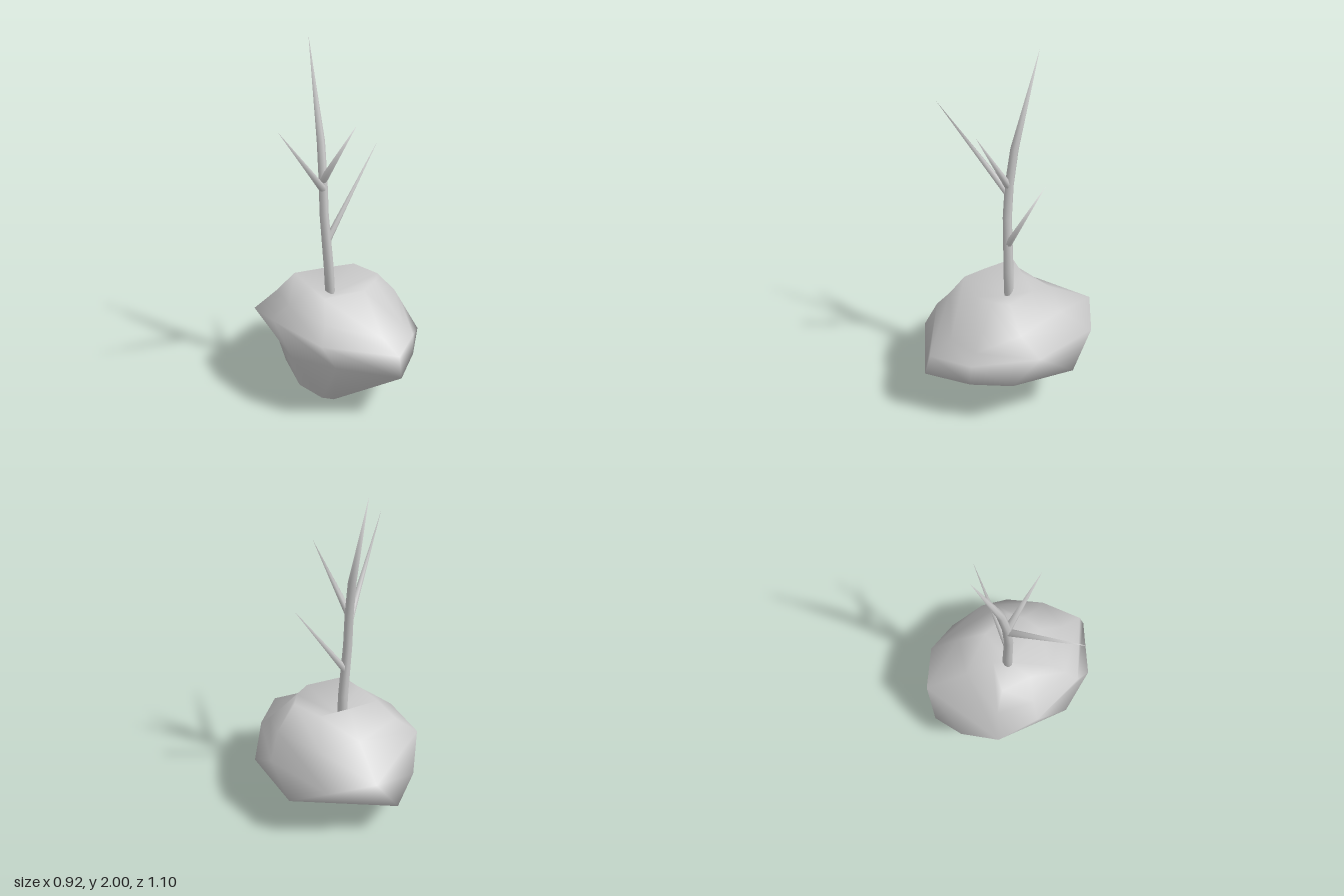
import * as THREE from 'three';

const V = (p) => new THREE.Vector3(...p);

// Skin a stack of closed loops (top to bottom, counterclockwise from above), capped by two centre points.
function skinLoops(top, loops, bottom) {
  const n = loops[0].length;
  const points = [...loops.flat(), top, bottom];
  const topId = loops.length * n, bottomId = topId + 1, index = [];
  for (let j = 0; j < n; j++) {
    const k = (j + 1) % n, last = (loops.length - 1) * n;
    index.push(topId, j, k, bottomId, last + k, last + j);
    for (let i = 0; i < loops.length - 1; i++) {
      const a = i * n + j, b = a + n, c = (i + 1) * n + k, d = i * n + k;
      index.push(a, b, c, a, c, d);
    }
  }
  const geo = new THREE.BufferGeometry();
  geo.setAttribute('position', new THREE.Float32BufferAttribute(points.flat(), 3));
  geo.setIndex(index);
  geo.computeVertexNormals();
  return geo;
}

// Tapering limb through stations [x, y, z, radius], ending in a point.
function limb(stations, tip, sides = 7) {
  const pts = [...stations.map((s) => V(s.slice(0, 3))), V(tip)];
  const loops = stations.map((s, i) => {
    const dir = pts[i + 1].clone().sub(pts[Math.max(i - 1, 0)]).normalize();
    const turn = new THREE.Quaternion().setFromUnitVectors(new THREE.Vector3(0, 1, 0), dir);
    return Array.from({ length: sides }, (_, j) => {
      const a = (j / sides) * Math.PI * 2;
      return new THREE.Vector3(Math.sin(a) * s[3], 0, Math.cos(a) * s[3])
        .applyQuaternion(turn).add(pts[i]).toArray();
    });
  });
  return skinLoops(tip, loops.reverse(), stations[0].slice(0, 3));
}

export function createModel() {
  const group = new THREE.Group();
  const material = new THREE.MeshStandardMaterial({ color: 0xcccccc });
  const add = (name, geo) => {
    const mesh = new THREE.Mesh(geo, material);
    mesh.name = name;
    group.add(mesh);
  };

  // Irregular boulder: loops run front, +x side, back, -x side
  const rim = [
    [0.02, 0.67, 0.21], [0.13, 0.68, 0.17], [0.2, 0.68, 0.11], [0.17, 0.68, -0.07],
    [0, 0.68, -0.13], [-0.17, 0.68, -0.18], [-0.19, 0.67, 0], [-0.2, 0.66, 0.14]];
  const slope = [
    [0.02, 0.45, 0.38], [0.2, 0.45, 0.34], [0.32, 0.54, 0.12], [0.27, 0.55, -0.2],
    [0.06, 0.57, -0.28], [-0.24, 0.56, -0.26], [-0.3, 0.57, -0.05], [-0.25, 0.55, 0.21]];
  const shoulder = [
    [0.02, 0.4, 0.52], [0.23, 0.4, 0.39], [0.42, 0.42, 0.06], [0.36, 0.41, -0.35],
    [0.15, 0.455, -0.51], [-0.35, 0.45, -0.33], [-0.385, 0.49, -0.08], [-0.31, 0.46, 0.265]];
  const belly = [
    [0.01, 0.285, 0.55], [0.23, 0.28, 0.395], [0.405, 0.31, 0.235], [0.46, 0.28, -0.14],
    [0.02, 0.25, -0.55], [-0.17, 0.33, -0.48], [-0.405, 0.36, 0.12], [-0.29, 0.37, 0.365]];
  const base = [
    [-0.18, 0.04, 0.2], [-0.06, 0.02, 0.06], [0.02, 0.01, -0.04], [0.07, 0, -0.1],
    [-0.04, 0.015, -0.22], [-0.15, 0.03, -0.32], [-0.24, 0.03, -0.05], [-0.22, 0.035, 0.14]];
  // The top centre sinks into a hollow that holds the trunk
  add('boulder', skinLoops([-0.02, 0.56, -0.03], [rim, slope, shoulder, belly, base], [-0.12, 0.02, -0.04]));

  // Trunk, bending backwards to its tip
  add('trunk', limb([
    [-0.02, 0.53, -0.045, 0.029], [-0.028, 0.72, -0.047, 0.029], [-0.052, 1.05, -0.055, 0.026],
    [-0.05, 1.25, -0.066, 0.025], [-0.042, 1.46, -0.094, 0.023]], [-0.015, 2, -0.232]));

  // Bare branches: [name, foot, radius, tip]
  const branches = [
    ['leftBranch', [-0.035, 0.89, -0.05], 0.02, [0.305, 1.405, -0.037]],
    ['rightBranch', [-0.045, 1.19, -0.065], 0.022, [-0.462, 1.652, 0.128]],
    ['frontBranch', [-0.052, 1.25, -0.06], 0.022, [-0.01, 1.612, 0.175]]];
  for (const [name, foot, r, tip] of branches) add(name, limb([[...foot, r]], tip));

  return group;
}
